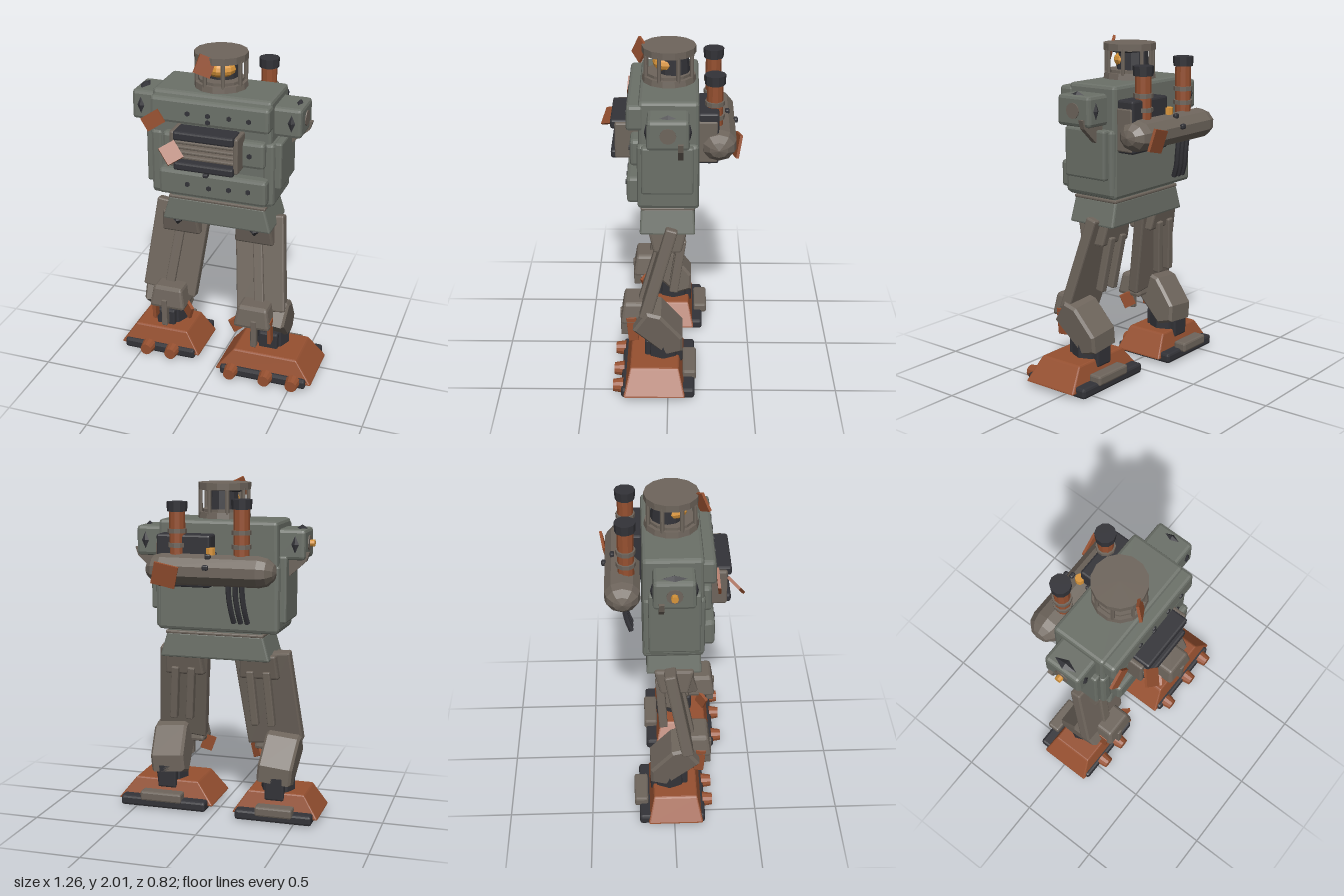
import * as THREE from 'three';
import { RoundedBoxGeometry } from 'three/addons/geometries/RoundedBoxGeometry.js';

const paint = (color) => new THREE.MeshStandardMaterial({ color, flatShading: true });
const GREEN = paint(0x6b7068), BROWN = paint(0x6e655c), RUST = paint(0x965030);
const DARK = paint(0x333338), AMBER = paint(0xd9953a);

export function createModel() {
  const root = new THREE.Group();
  const CX = -0.025; // mid-line of the body

  const add = (name, geo, mat, x, y, z, rx = 0, ry = 0, rz = 0) => {
    const m = new THREE.Mesh(geo, mat);
    m.name = name;
    m.position.set(x, y, z);
    m.rotation.set(rx, ry, rz);
    root.add(m);
    return m;
  };
  // Chamfered box given by its extents; its top can be scaled to taper it
  const block = (name, mat, [x0, x1], [y0, y1], [z0, z1], tx = 1, tz = 1, bevel = 0.012) => {
    const w = x1 - x0, h = y1 - y0, d = z1 - z0;
    const geo = new RoundedBoxGeometry(w, h, d, 1, Math.min(bevel, w / 3, h / 3, d / 3));
    const p = geo.attributes.position;
    for (let i = 0; i < p.count; i++) {
      const t = p.getY(i) / h + 0.5;
      p.setX(i, p.getX(i) * (1 + (tx - 1) * t));
      p.setZ(i, p.getZ(i) * (1 + (tz - 1) * t));
    }
    return add(name, geo, mat, (x0 + x1) / 2, (y0 + y1) / 2, (z0 + z1) / 2);
  };
  const span = (c, size) => [c - size / 2, c + size / 2];
  // Chamfered bar from its upper end a to its lower end b
  const beam = (name, mat, a, b, w, d) => {
    const A = new THREE.Vector3(...a), B = new THREE.Vector3(...b), dir = A.clone().sub(B);
    const m = add(name, new RoundedBoxGeometry(w, dir.length(), d, 1, Math.min(w, d) * 0.15), mat, 0, 0, 0);
    m.position.copy(A).add(B).multiplyScalar(0.5);
    m.quaternion.setFromUnitVectors(new THREE.Vector3(0, 1, 0), dir.normalize());
  };
  const cyl = (name, mat, r0, r1, h, x, y, z, n = 10, rx = 0, rz = 0) =>
    add(name, new THREE.CylinderGeometry(r0, r1, h, n), mat, x, y, z, rx, 0, rz);

  // Torso, waist and pelvis
  block('torso', GREEN, [-0.395, 0.335], [1.13, 1.775], [-0.175, 0.17], 0.97, 0.97, 0.02);
  block('waist', GREEN, [-0.29, 0.285], [1.09, 1.15], [-0.14, 0.15]);
  block('waistRing', BROWN, [-0.3, 0.295], [1.1, 1.12], [-0.15, 0.158]);
  block('pelvis', GREEN, [-0.34, 0.33], [0.96, 1.11], [-0.155, 0.165], 0.87, 0.95);

  // Chest plates with bolts
  block('upperChestPlate', GREEN, [-0.375, 0.33], [1.605, 1.755], [0.13, 0.235], 1, 0.9, 0.02);
  block('middleChestPlate', GREEN, [-0.31, 0.30], [1.38, 1.54], [0.13, 0.215], 1, 1, 0.02);
  block('lowerChestPlate', GREEN, [-0.33, 0.32], [1.16, 1.32], [0.13, 0.235], 1, 1, 0.02);
  for (const [x, y, z] of [[-0.145, 1.675, 0.23], [-0.025, 1.675, 0.23], [-0.025, 1.638, 0.232],
    [0.1, 1.675, 0.23], [0.215, 1.672, 0.23], [-0.15, 1.243, 0.235], [-0.02, 1.235, 0.235],
    [0.1, 1.243, 0.235], [0.215, 1.247, 0.235], [0.215, 1.46, 0.215]])
    cyl('bolt', DARK, 0.015, 0.015, 0.02, x, y, z, 6, Math.PI / 2);
  block('latch', DARK, [-0.04, -0.01], [1.32, 1.345], [0.25, 0.29]);

  // Front grille
  block('grilleBack', DARK, [-0.2, 0.15], [1.4, 1.58], [0.17, 0.25]);
  block('grilleTop', DARK, [-0.2, 0.155], [1.545, 1.6], [0.2, 0.33]);
  block('grilleBottom', DARK, [-0.2, 0.155], [1.365, 1.415], [0.2, 0.33]);
  for (const x of [-0.215, 0.16]) block('grilleSide', BROWN, span(x, 0.03), [1.375, 1.59], [0.17, 0.305]);
  for (let i = 0; i < 4; i++)
    block('grilleSlat', BROWN, [-0.2, 0.15], span(1.434 + i * 0.03, 0.02), [0.24, 0.3]);

  // Sides: door plate, shoulder pod, gusset
  for (const s of [-1, 1]) {
    const side = (a, b) => [CX + s * a, CX + s * b].sort((p, q) => p - q);
    block('sidePanel', GREEN, side(0.3, 0.372), [1.14, 1.53], [-0.17, 0.175], 1, 1, 0.02);
    block('sideDoor', GREEN, side(0.36, 0.408), s > 0 ? [1.245, 1.53] : [1.19, 1.58], [-0.14, 0.15]);
    block('shoulderPod', GREEN, side(0.33, 0.507), [1.555, 1.73], [-0.118, 0.118], 1, 0.97, 0.02);
    const tri = new THREE.Shape([[0.35, 1.6], [0.527, 1.6], [0.51, 1.55], [0.41, 1.46], [0.35, 1.46]]
      .map(([x, y]) => new THREE.Vector2(s * x, y)));
    add('shoulderGusset', new THREE.ExtrudeGeometry(tri, { depth: 0.03, bevelEnabled: false }), BROWN, CX, 0, -0.085);
    const stud = (x, y, z, a, b, c) =>
      add('shoulderStud', new THREE.OctahedronGeometry(1).scale(a, b, c), DARK, x, y, z);
    stud(CX + s * 0.45, 1.645, 0.118, 0.022, 0.05, 0.012);
    stud(CX + s * 0.45, 1.645, -0.118, 0.022, 0.05, 0.012);
    stud(CX + s * 0.465, 1.73, 0, s > 0 ? 0.018 : 0.03, 0.02, s > 0 ? 0.045 : 0.07);
    cyl('shoulderDisc', BROWN, 0.045, 0.045, 0.012, CX + s * 0.507, 1.645, 0, 12, 0, Math.PI / 2);
  }
  cyl('shoulderKnob', AMBER, 0.02, 0.02, 0.04, -0.545, 1.645, 0, 8, 0, Math.PI / 2);

  // Caged head
  cyl('headBase', BROWN, 0.15, 0.155, 0.035, CX, 1.798, 0, 14);
  cyl('headRing', BROWN, 0.13, 0.13, 0.02, CX, 1.822, 0, 14);
  cyl('headCore', DARK, 0.085, 0.095, 0.13, CX, 1.885, -0.025, 12);
  add('eye', new THREE.SphereGeometry(0.09, 12, 8).scale(1, 0.6, 0.9), AMBER, CX, 1.885, 0.012);
  cyl('headCap', BROWN, 0.154, 0.154, 0.04, CX, 1.963, 0, 14);
  cyl('capLining', DARK, 0.12, 0.1, 0.015, CX, 1.937, 0, 14);
  for (let i = 0; i < 8; i++) {
    const a = (i + 0.5) / 8 * Math.PI * 2;
    cyl('cagePost', BROWN, 0.012, 0.012, 0.15, CX + Math.sin(a) * 0.14, 1.88, Math.cos(a) * 0.14, 6);
  }

  // Back: tank, housing, exhausts, valve and hoses
  add('tank', new THREE.CapsuleGeometry(0.1, 0.57, 3, 10).scale(0.9, 1, 1.04), BROWN, CX, 1.503, -0.28, 0, 0, Math.PI / 2);
  block('backHousing', DARK, [-0.02, 0.3], [1.4, 1.7], [-0.28, -0.165]);
  block('housingEnd', BROWN, [0.28, 0.306], [1.41, 1.655], [-0.272, -0.165]);
  for (const [x, top] of [[-0.2, 1.905], [0.18, 1.885]]) {
    cyl('exhaustPipe', RUST, 0.046, 0.046, top - 1.57, x, (top + 1.55) / 2, -0.257, 10);
    cyl('exhaustCap', DARK, 0.06, 0.057, 0.055, x, top - 0.028, -0.257, 10);
    for (const y of [1.64, 1.72]) cyl('exhaustCollar', BROWN, 0.056, 0.056, 0.025, x, y, -0.257, 10);
  }
  cyl('valve', AMBER, 0.027, 0.027, 0.04, CX, 1.61, -0.28, 8);
  for (const z of [-0.22, -0.335, -0.385])
    block('tankClamp', DARK, span(CX, 0.035), span(z < -0.36 ? 1.53 : 1.585, 0.03), span(z, 0.025));
  for (let i = 0; i < 3; i++) {
    const x = -0.13 - i * 0.04;
    const path = new THREE.CatmullRomCurve3([[0, 1.45, -0.285], [0, 1.36, -0.275], [-0.01, 1.27, -0.26],
      [-0.02, 1.2, -0.235]].map(([dx, y, z]) => new THREE.Vector3(x + dx, y, z)));
    add('hose', new THREE.TubeGeometry(path, 12, 0.016, 6), DARK, 0, 0, 0);
  }

  // Legs, the left one stepping slightly back
  for (const s of [-1, 1]) {
    const X = (x) => CX + s * x, dz = s > 0 ? 0 : -0.055, w = s > 0 ? 0.3 : 0.34;
    block('hip', BROWN, span(X(0.23), 0.24), [0.84, 0.99], [-0.075, 0.085], 0.88, 1.45);
    add('hipBolt', new THREE.OctahedronGeometry(0.035), DARK, X(0.24), 0.94, 0.11);
    beam('thigh', BROWN, [X(0.24), 0.99, -0.02], [X(0.305), 0.43, 0.14 + dz], w, 0.07);
    beam('thighRidge', BROWN, [X(0.235), 0.95, 0.015], [X(0.3), 0.46, 0.165 + dz], 0.06, 0.05);
    for (const x of [0.18, 0.28])
      beam('thighStrut', BROWN, [X(x), 0.89, -0.08], [X(x + 0.03), 0.56, -0.03 + dz * 0.5], 0.045, 0.05);

    // Shin from a side outline, leaning back to the ankle
    const outline = new THREE.Shape([[0.19, 0.38], [0.12, 0.49], [0.05, 0.47], [-0.07, 0.32], [-0.07, 0.235], [0.01, 0.21]]
      .map(([z, y]) => new THREE.Vector2(-z, y)));
    const shin = new THREE.ExtrudeGeometry(outline, { depth: 0.18, bevelSize: 0.015, bevelThickness: 0.015, bevelSegments: 1 });
    shin.translate(0, -0.35, -0.09);
    add('shin', shin, BROWN, X(0.35), 0.35, dz, 0, Math.PI / 2, 0).rotateX(s * 0.1);
    block('kneeGuard', BROWN, span(X(0.28), 0.23), [0.37, 0.51], [0.11 + dz, 0.285 + dz], 0.78, 0.75, 0.02);
    beam('kneeRod', BROWN, [X(0.295), 0.43, 0.265 + dz], [X(0.295), 0.25, 0.262 + dz], 0.035, 0.045);
    beam('shinStrip', RUST, [X(0.38), 0.42, 0.22 + dz], [X(0.38), 0.26, 0.205 + dz], 0.022, 0.06);
    add('rustFlap', new THREE.BoxGeometry(0.075, 0.09, 0.02), RUST, X(0.165), 0.345, 0.2 + dz, 0, s * 0.7, s * 0.4);

    // Ankle
    cyl('ankle', DARK, 0.1, 0.105, 0.12, X(0.345), 0.205, 0.03 + dz, 8);
    block('ankleBrace', DARK, span(X(0.345), 0.12), [0.12, 0.27], [-0.085 + dz, 0.14 + dz]);

    // Foot: sole, sloped shell, toe studs, heel block
    const fx = s > 0 ? 0.325 : -0.378, k = s > 0 ? 1 : 0.86, kz = s > 0 ? 1 : 0.91;
    const fz = s > 0 ? 0.06 : -0.012;
    block('sole', DARK, span(fx, 0.54 * k), [0.008, 0.07], span(fz, 0.435 * kz), 1, 1, 0.015);
    block('footShell', RUST, span(fx, 0.612 * k), [0.03, 0.17], span(fz + 0.02, 0.365 * kz), 0.64, 0.78, 0.01);
    for (const t of s > 0 ? [0.13, 0.35, 0.52] : [-0.45, -0.29])
      cyl('toeStud', RUST, 0.036, 0.046, 0.06, t, 0.047, fz + 0.205 * kz + 0.03, 12, Math.PI / 2);
    block('heel', BROWN, span(fx + s * 0.01, 0.26 * k), [0.05, 0.11], [fz - 0.228, fz - 0.145]);
  }

  // Bent rust patches
  for (const [x, y, z, w, h, rx, ry, rz] of [
    [-0.35, 1.615, 0.245, 0.12, 0.085, -0.1, 0, 0.6],
    [-0.2, 1.48, 0.355, 0.1, 0.11, -0.7, 0.35, 0.75],
    [-0.065, 1.94, 0.165, 0.1, 0.11, -0.25, 0.6, -0.3],
    [0.215, 1.48, -0.385, 0.14, 0.13, -0.2, 0.1, 0.25],
  ]) add('rustPatch', new THREE.BoxGeometry(w, h, 0.016), RUST, x, y, z, rx, ry, rz);

  return root;
}
